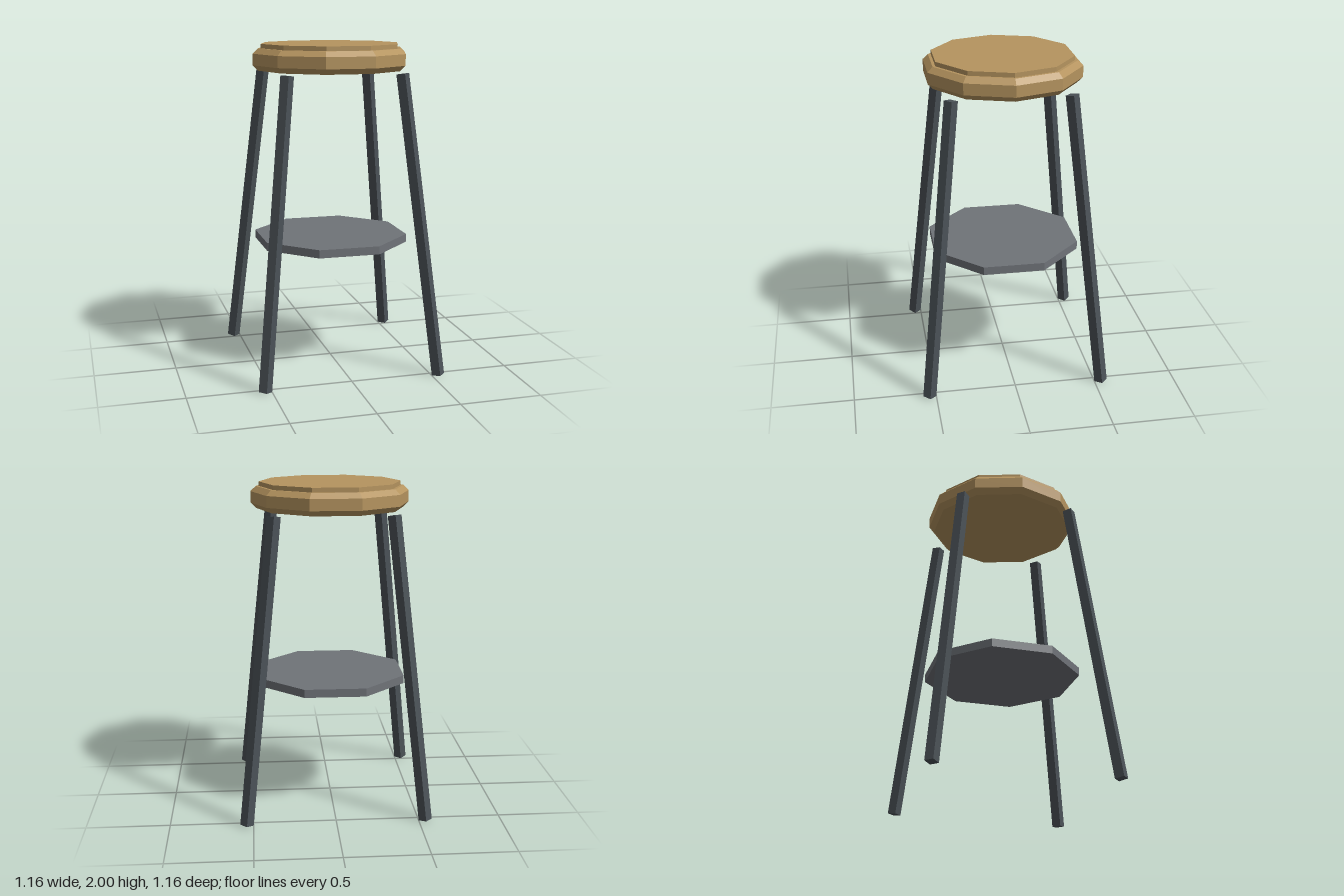
import * as THREE from 'three';

const mat = (name, color) => {
  const m = new THREE.MeshStandardMaterial({ color, flatShading: true });
  m.name = name;
  return m;
};

export function createModel() {
  const wood = mat('wood', 0xb5945f);
  const shelfMetal = mat('shelf metal', 0x6f7378);
  const legMetal = mat('leg metal', 0x4b5257);

  const stool = new THREE.Group();
  stool.name = 'stool';
  const add = (name, geometry, material, parent = stool) => {
    const mesh = new THREE.Mesh(geometry, material);
    mesh.name = name;
    parent.add(mesh);
    return mesh;
  };

  // Ten-sided seat with chamfered rims and a raised top
  const profile = [
    [0, 1.84], [0.45, 1.84], [0.483, 1.873], [0.483, 1.942],
    [0.45, 1.973], [0.432, 1.973], [0.432, 2], [0, 2],
  ].map(([r, y]) => new THREE.Vector2(r, y));
  const seat = add('seat', new THREE.LatheGeometry(profile, 10), wood);
  seat.rotation.y = Math.PI / 2; // corners on the x axis

  // Eight-sided shelf between the legs
  const shelf = add('shelf', new THREE.CylinderGeometry(0.483, 0.483, 0.05, 8), shelfMetal);
  shelf.position.y = 0.79;
  shelf.rotation.y = Math.PI / 8; // flats face the axes

  // Four square legs on the diagonals, splayed outwards
  const topR = 0.495, footR = 0.764, topY = 1.832, footY = 0.004;
  const length = Math.hypot(topY - footY, footR - topR);
  const legGeometry = new THREE.BoxGeometry(0.057, length, 0.057);
  ['frontLeft', 'backLeft', 'backRight', 'frontRight'].forEach((corner, i) => {
    const pivot = new THREE.Group();
    pivot.name = corner + 'LegPivot';
    pivot.rotation.y = -Math.PI / 4 + (i * Math.PI) / 2;
    const leg = add(corner + 'Leg', legGeometry, legMetal, pivot);
    leg.position.set((topR + footR) / 2, (topY + footY) / 2, 0);
    leg.rotation.z = Math.atan2(footR - topR, topY - footY);
    stool.add(pivot);
  });

  return stool;
}
